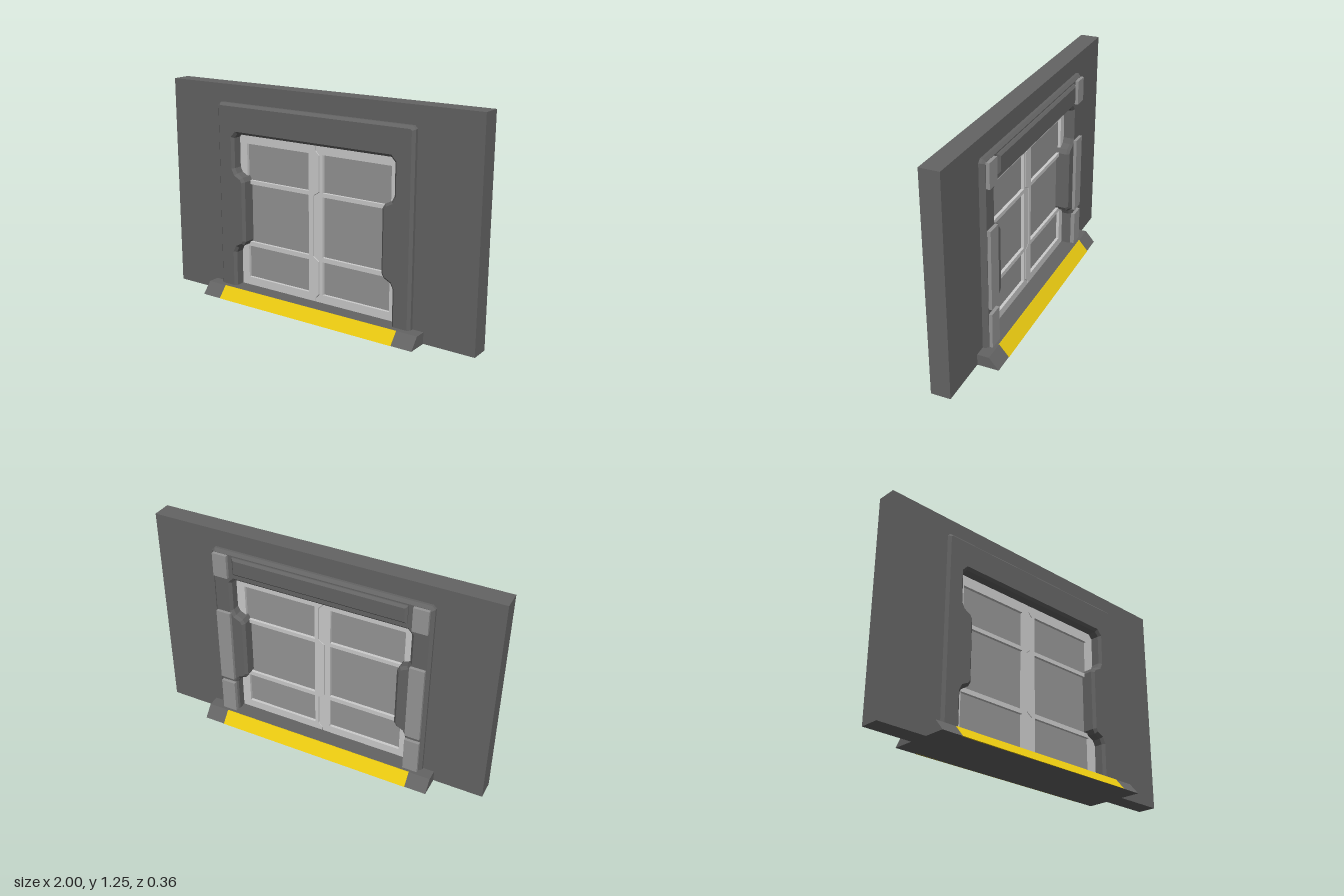
import * as THREE from 'three';

const mat = (color) => new THREE.MeshStandardMaterial({ color, flatShading: true });
const darkGrey = mat(0x646464);
const midGrey = mat(0x959595);
const lightGrey = mat(0xcccccc);
const yellow = mat(0xe8c810);

const shapeOf = (pts) => new THREE.Shape(pts.map(([x, y]) => new THREE.Vector2(x, y)));
const mirror = (pts) => pts.map(([x, y]) => [-x, y]).reverse();

// Extrude a shape from z0 to z1, with an optional chamfer inside its outline
function slab(shape, z0, z1, bevel = 0) {
  const geo = new THREE.ExtrudeGeometry(shape, {
    depth: z1 - z0 - 2 * bevel,
    bevelEnabled: bevel > 0,
    bevelThickness: bevel,
    bevelSize: bevel,
    bevelOffset: -bevel,
    bevelSegments: 1,
  });
  geo.translate(0, 0, z0 + bevel);
  return geo;
}

function box(x0, x1, y0, y1, z0, z1) {
  const geo = new THREE.BoxGeometry(x1 - x0, y1 - y0, z1 - z0);
  geo.translate((x0 + x1) / 2, (y0 + y1) / 2, (z0 + z1) / 2);
  return geo;
}

function add(parent, name, geo, material) {
  const mesh = new THREE.Mesh(geo, material);
  mesh.name = name;
  parent.add(mesh);
  return mesh;
}

// Extrude a (z, y) profile along x
function alongX(pts, x0, x1) {
  const geo = slab(shapeOf(pts.map(([z, y]) => [-z, y])), 0, x1 - x0);
  geo.rotateY(Math.PI / 2);
  geo.translate(x0, 0, 0);
  return geo;
}

export function createModel() {
  const model = new THREE.Group();
  model.name = 'slidingDoorWall';

  // Wall with a doorway cut out of it
  const wall = shapeOf([
    [-1, 0], [-0.6, 0], [-0.6, 1.06], [0.6, 1.06], [0.6, 0], [1, 0], [1, 1.25], [-1, 1.25],
  ]);
  add(model, 'wall', slab(wall, -0.055, 0.055), darkGrey);

  const door = new THREE.Group();
  door.name = 'doorAssembly';
  door.position.x = -0.006;
  model.add(door);

  // Chamfered door frame, its posts stepping inward at mid height
  const outer = [[0.643, 0], [0.643, 1.13], [0.626, 1.147]];
  const inner = [
    [0.53, 0], [0.53, 0.27], [0.515, 0.3], [0.475, 0.32], [0.46, 0.345], [0.46, 0.7],
    [0.475, 0.725], [0.515, 0.745], [0.53, 0.775], [0.53, 0.95], [0.507, 0.975],
  ];
  const frame = shapeOf([
    ...outer, ...mirror(outer), ...mirror(inner).reverse(), ...[...inner].reverse(),
  ]);
  add(door, 'doorFrame', slab(frame, -0.085, 0.09, 0.015), darkGrey);

  // Raised plates on the back of the frame
  for (const side of [-1, 1]) {
    for (const [y0, y1] of [[0.06, 0.27], [0.3, 0.76], [0.99, 1.13]]) {
      const xs = [0.538 * side, 0.624 * side].sort((a, b) => a - b);
      add(door, 'postPlate', box(xs[0], xs[1], y0, y1, -0.104, -0.08), midGrey);
    }
  }
  const lintel = shapeOf([[-0.508, 1.02], [0.508, 1.02], [0.508, 1.125], [-0.508, 1.125]]);
  add(door, 'lintelPlate', slab(lintel, -0.104, -0.06, 0.012), darkGrey);

  // Two door leaves meeting along a jogged seam
  const seam = [
    [0, 0.03], [0, 0.085], [0.023, 0.11], [0.023, 0.305], [-0.014, 0.33],
    [-0.014, 0.68], [0.023, 0.705], [0.023, 0.91], [0, 0.935], [0, 1.0],
  ];
  const rows = [[0.113, 0.307], [0.333, 0.68], [0.703, 0.915]];
  for (const side of [-1, 1]) {
    const edge = seam.map(([x, y]) => [x + side * 0.003, y]);
    const leaf = shapeOf([...edge, [side * 0.57, 1.0], [side * 0.57, 0.03]]);
    for (const [y0, y1] of rows) {
      const a = side * 0.047, b = side * 0.48;
      leaf.holes.push(new THREE.Path(
        [[a, y0], [b, y0], [b, y1], [a, y1]].map(([x, y]) => new THREE.Vector2(x, y))));
    }
    add(door, side > 0 ? 'leftLeafTrim' : 'rightLeafTrim', slab(leaf, -0.025, 0.025), lightGrey);
  }
  add(door, 'doorPanels', box(-0.565, 0.565, 0.03, 0.995, -0.008, 0.008), midGrey);

  // Ramped sill with a yellow strip on each slope
  add(door, 'sill', alongX([[-0.177, 0], [0.177, 0], [0.122, 0.065], [-0.122, 0.065]], -0.709, 0.709), darkGrey);
  for (const s of [-1, 1]) {
    const strip = [[s * 0.17, 0], [s * 0.179, 0], [s * 0.124, 0.0655], [s * 0.115, 0.0645]];
    add(door, 'warningStrip', alongX(strip, -0.585, 0.585), yellow);
  }
  return model;
}
